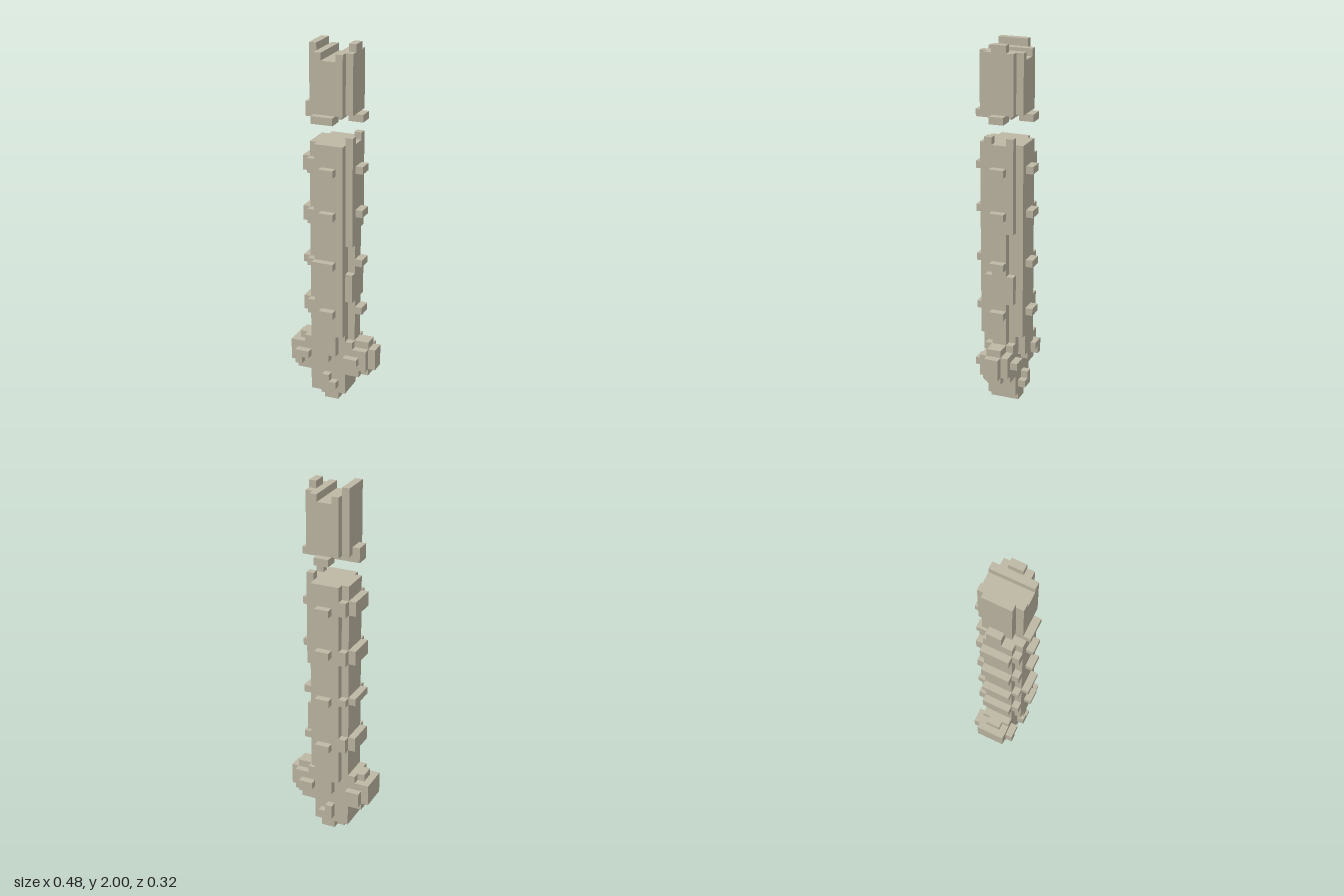
import * as THREE from 'three';

export function createModel() {
  const U = 0.04; // one block
  const root = new THREE.Group();
  root.name = 'blockColumn';
  const stone = new THREE.MeshStandardMaterial({ color: 0xbeb7a4 });
  stone.name = 'paleStone';

  // Box given by its block ranges on each axis
  const box = (name, x0, x1, y0, y1, z0, z1) => {
    const m = new THREE.Mesh(new THREE.BoxGeometry((x1 - x0) * U, (y1 - y0) * U, (z1 - z0) * U), stone);
    m.name = name;
    m.position.set((x0 + x1) * U / 2, (y0 + y1) * U / 2, (z0 + z1) * U / 2);
    root.add(m);
  };
  // The same box on the front and the back
  const both = (name, x0, x1, y0, y1, z0, z1) => {
    box(name + 'Front', x0, x1, y0, y1, z0, z1);
    box(name + 'Back', x0, x1, y0, y1, -z1, -z0);
  };

  // Foot
  box('footTip', -2, 1, 0, 1, -1, 1);
  box('footTipCross', -1, 1, 0, 1, -2, 2);
  box('foot', -3, 2, 1, 4, -2, 2);
  both('footStud', -1, 0, 2, 4, 2, 3);
  both('footStudStep', 0, 1, 2, 3, 2, 3);

  // Wide base with arms and studs
  box('base', -5, 4, 4, 8, -2, 2);
  box('rightArmEnd', -6, -5, 5, 8, -2, 2);
  box('rightArmCap', -5, -3, 8, 9, -1, 1);
  box('leftArm', 4, 5, 5, 8, -2, 2);
  box('leftArmUnder', 4, 5, 4, 5, -1, 1);
  box('leftArmEnd', 5, 6, 5, 8, -1, 1);
  box('leftArmCap', 2, 5, 8, 9, -1, 1);
  box('baseTop', -4, 3, 8, 9, -2, 2);
  both('rightArmStud', -5, -3, 6, 7, 2, 3);
  both('rightArmStudStep', -5, -4, 5, 6, 2, 3);
  both('leftArmStud', 2, 4, 6, 7, 2, 3);

  // Shaft: core, stepped front and back faces, side ribs
  box('shaftCore', -2, 2, 8, 37, -2, 2);
  [[-2, 8], [-1, 6], [0, 7], [1, 10]].forEach(([x, y]) => both('shaftFace', x, x + 1, y, 37, 2, 3));
  box('rightRib', -3, -2, 8, 37, -2, 2);
  box('leftRibSlim', 2, 3, 8, 37, -1, 1);
  box('leftRibLow', 2, 3, 15, 19, -2, 2);
  box('leftRibHigh', 2, 3, 25, 37, -2, 2);
  box('leftRibStep', 2, 3, 23, 25, 1, 2);
  both('shaftTooth', 2, 3, 37, 38, 1, 2);

  // Rings of studs up the shaft: [bottom, right bar bottom, right bar top, front stud start]
  [[13, 13, 15, -1], [20, 20, 21, -2], [27, 26, 28, -1], [33, 33, 35, -1]].forEach(([y, r0, r1, f]) => {
    box('frontStud', f, 1, y, y + 1, 3, 4);
    box('backStud', -1, 1, y, y + 1, -4, -3);
    box('leftStud', 2, 4, y, y + 1, -1, 1);
    box('rightBar', -4, -3, r0, r1, -2, 2);
    box('rightBarCorner', -3, -2, r0, r1, -3, 3);
  });

  // Floating top: body, ribs, stepped channel
  box('topBody', -2, 2, 41, 48, -3, 3);
  box('topChannelRight', -2, -1, 48, 49, -3, 3);
  box('topChannelLeft', 1, 2, 48, 49, -3, 3);
  box('topRightRib', -3, -2, 41, 50, -2, 2);
  box('topLeftRib', 2, 3, 41, 49, -2, 2);
  box('topLeftTooth', 2, 3, 49, 50, -1, 1);

  // Underside of the floating top
  box('topUnderBeam', -3, 1, 40, 41, -1, 1);
  box('topFrontStud', -2, 1, 40, 41, 2, 4);
  box('topBackStud', -1, 1, 40, 41, -4, -2);
  box('topLeftStud', 2, 4, 40, 41, -1, 1);
  box('topRightStud', -4, -3, 40, 42, -1, 1);

  return root;
}
